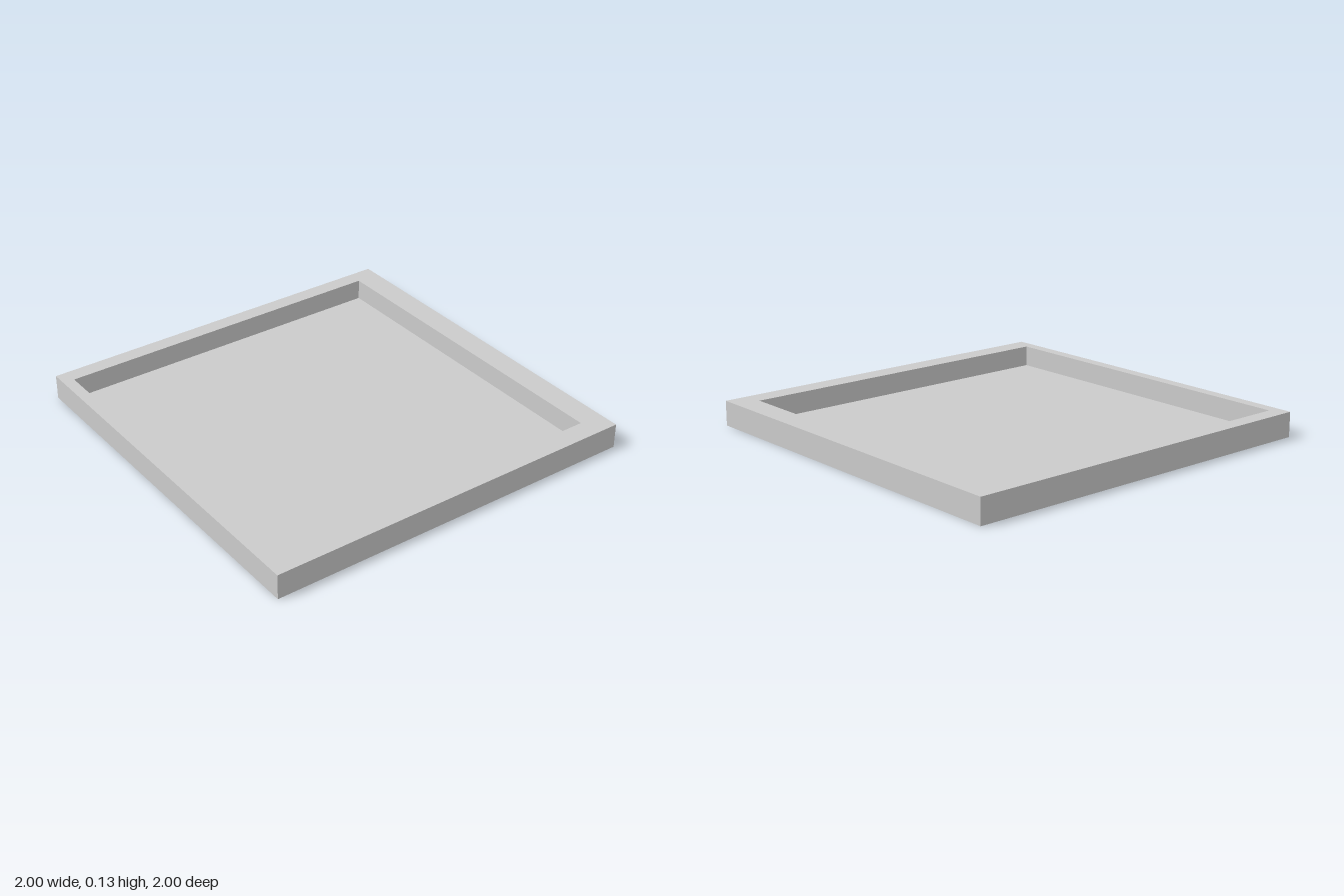
import * as THREE from 'three';

const WIDTH = 1.995, DEPTH = 2, HEIGHT = 0.13, FLOOR = 0.02;

// Recess edges; it sits slightly off centre
const RECESS = { left: -0.938, right: 0.868, back: -0.916, front: 0.89 };

function rectangle(path, x0, y0, x1, y1) {
  path.moveTo(x0, y0);
  path.lineTo(x1, y0);
  path.lineTo(x1, y1);
  path.lineTo(x0, y1);
  path.closePath();
  return path;
}

export function createModel() {
  const model = new THREE.Group();
  model.name = 'tray';
  const material = new THREE.MeshStandardMaterial({ color: 0xcccccc });

  // Thin bottom plate
  const floor = new THREE.Mesh(new THREE.BoxGeometry(WIDTH, FLOOR, DEPTH), material);
  floor.name = 'trayFloor';
  floor.position.y = FLOOR / 2;

  // Raised rim around the recess, drawn flat (shape y = -z) and extruded upwards
  const outline = rectangle(new THREE.Shape(), -WIDTH / 2, -DEPTH / 2, WIDTH / 2, DEPTH / 2);
  outline.holes.push(
    rectangle(new THREE.Path(), RECESS.left, -RECESS.front, RECESS.right, -RECESS.back));
  const rimGeometry = new THREE.ExtrudeGeometry(outline, { depth: HEIGHT - FLOOR, bevelEnabled: false });
  rimGeometry.rotateX(-Math.PI / 2);
  const rim = new THREE.Mesh(rimGeometry, material);
  rim.name = 'trayRim';
  rim.position.y = FLOOR;

  model.add(floor, rim);
  return model;
}
